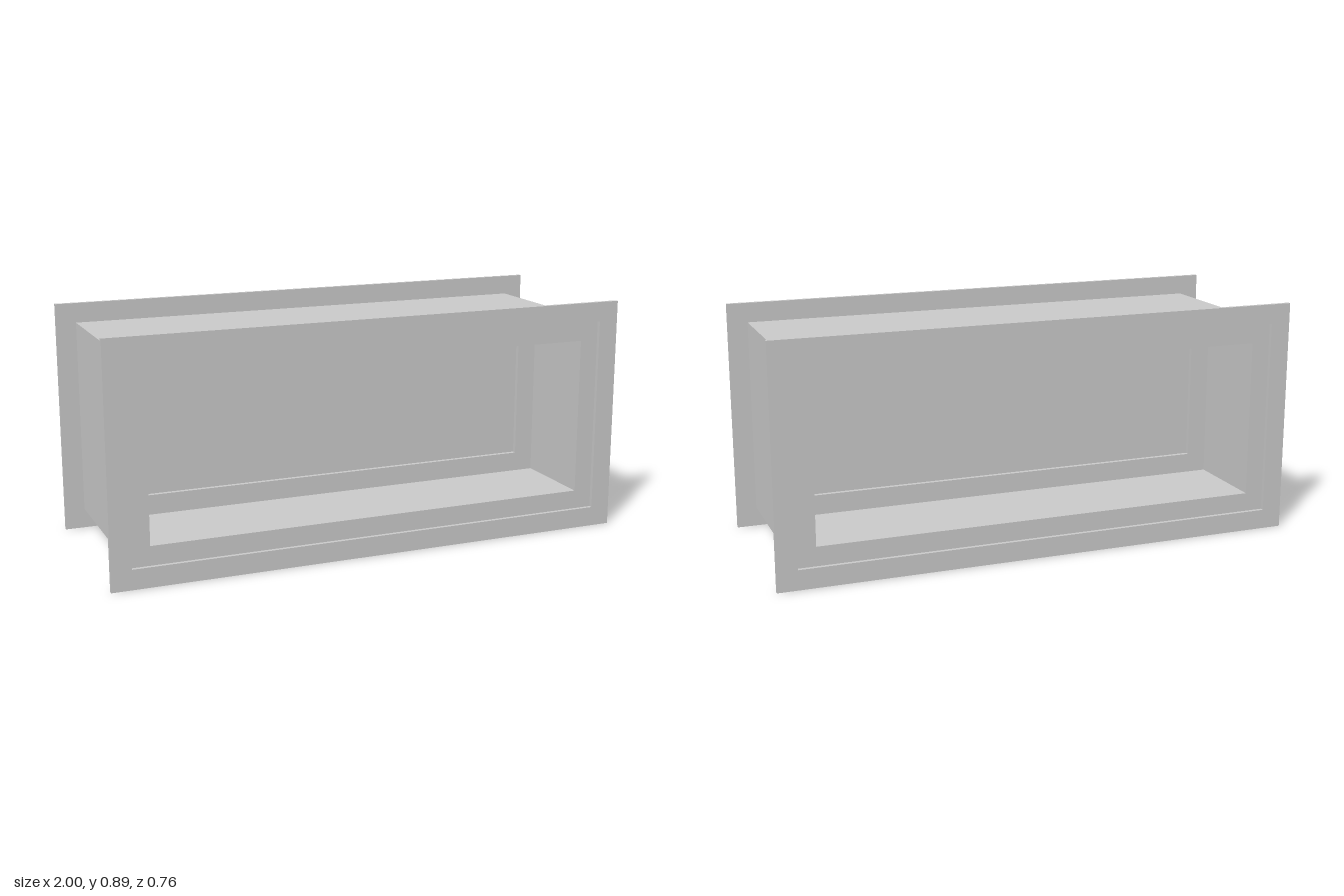
import * as THREE from 'three';

const material = new THREE.MeshStandardMaterial({ color: 0xcccccc, flatShading: true });
const CENTER_Y = 0.445;

// Rectangular ring with half sizes outer and inner, spanning z0 to z1
function rectRing(name, [ow, oh], [iw, ih], z0, z1) {
  const rect = (target, w, h) =>
    target.moveTo(-w, -h).lineTo(w, -h).lineTo(w, h).lineTo(-w, h).closePath();
  const shape = rect(new THREE.Shape(), ow, oh);
  shape.holes.push(rect(new THREE.Path(), iw, ih));
  const geometry = new THREE.ExtrudeGeometry(shape, { depth: z1 - z0, bevelEnabled: false });
  geometry.translate(0, CENTER_Y, z0);
  const mesh = new THREE.Mesh(geometry, material);
  mesh.name = name;
  return mesh;
}

export function createModel() {
  const group = new THREE.Group();
  group.name = 'window';

  const flangeSize = [1, 0.445];
  const boxSize = [0.924, 0.37];
  const openingSize = [0.853, 0.298];
  const paneSize = [0.778, 0.223];
  const boxZ = 0.363, flangeZ = 0.378, sashZ = 0.022, paneZ = 0.005;

  // Deep casing through the wall
  group.add(rectRing('casing', boxSize, openingSize, -boxZ, boxZ));

  // Thin trim flanges standing proud of both casing ends
  group.add(rectRing('frontFlange', flangeSize, boxSize, boxZ, flangeZ));
  group.add(rectRing('backFlange', flangeSize, boxSize, -flangeZ, -boxZ));

  // Sash in the middle of the casing
  group.add(rectRing('sash', openingSize, paneSize, -sashZ, sashZ));

  // Glass pane held by the sash
  const pane = new THREE.Mesh(
    new THREE.BoxGeometry(paneSize[0] * 2, paneSize[1] * 2, paneZ * 2), material);
  pane.name = 'pane';
  pane.position.y = CENTER_Y;
  group.add(pane);

  return group;
}
